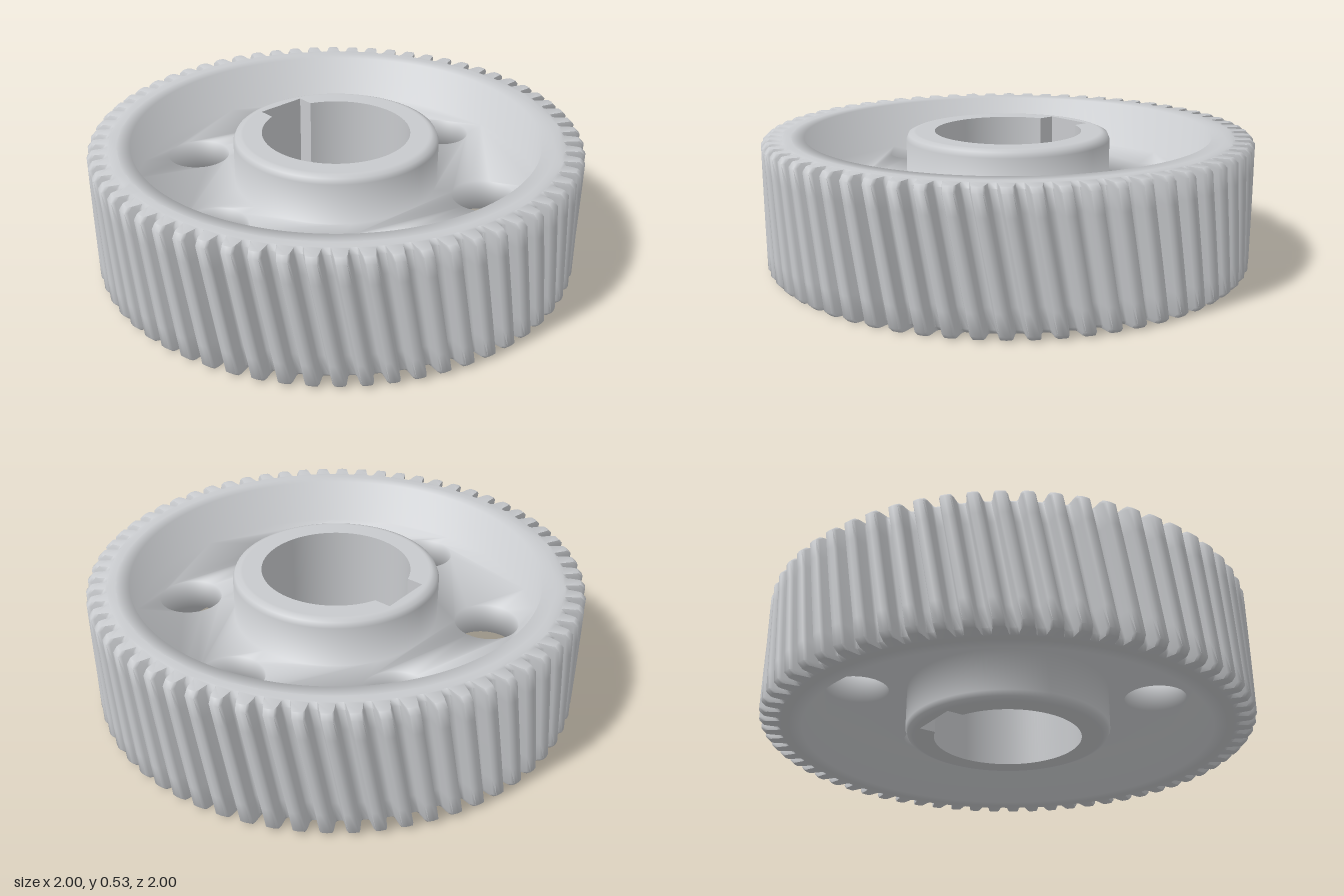
import * as THREE from 'three';
import { toCreasedNormals } from 'three/addons/utils/BufferGeometryUtils.js';

const HEIGHT = 0.53;
const WEB = [0.2, 0.33]; // bottom and top of the web
const RIM_R = 0.83, HUB_R = 0.42;
const TEETH = 64;
const TWIST = -0.098; // helix turn from bottom to top

function circlePath(x, y, r) {
  return new THREE.Path().absarc(x, y, r, 0, Math.PI * 2, true);
}

function disc(r) {
  return new THREE.Shape().absarc(0, 0, r, 0, Math.PI * 2, false);
}

// Extrude a shape upward from y0 to y1
function plate(shape, y0, y1, steps = 1) {
  const geo = new THREE.ExtrudeGeometry(shape, {
    depth: y1 - y0, steps, bevelEnabled: false, curveSegments: 64,
  });
  return geo.rotateX(-Math.PI / 2).translate(0, y0, 0);
}

function lathe(points) {
  const profile = points.map(([x, y]) => new THREE.Vector2(x, y));
  return new THREE.LatheGeometry(profile, 128).toNonIndexed();
}

// Helical teeth with softened ends; [fraction of the pitch, radius] for one tooth
function toothedBand() {
  const tooth = [
    [0.04, 0.936], [0.28, 0.936], [0.34, 0.945], [0.41, 0.985],
    [0.47, 0.998], [0.66, 1], [0.85, 0.998], [0.91, 0.985], [0.98, 0.945],
  ];
  const e = 0.018;
  const outline = [];
  for (let i = 0; i < TEETH; i++) {
    for (const [f, r] of tooth) {
      const a = (i + f) / TEETH * Math.PI * 2;
      outline.push(new THREE.Vector2((r - e) * Math.cos(a), (r - e) * Math.sin(a)));
    }
  }
  const shape = new THREE.Shape(outline);
  shape.holes.push(circlePath(0, 0, 0.88));
  const rows = [[0, 0], [e, e]]; // height and growth of the outer edge
  for (let i = 1; i < 6; i++) rows.push([e + (HEIGHT - 2 * e) * i / 6, e]);
  rows.push([HEIGHT - e, e], [HEIGHT, 0]);

  const geo = plate(shape, 0, rows.length - 1, rows.length - 1);
  const p = geo.attributes.position;
  for (let i = 0; i < p.count; i++) {
    const [y, grow] = rows[Math.round(p.getY(i))];
    const x = p.getX(i), z = p.getZ(i);
    const flat = Math.hypot(x, z);
    const r = flat > 0.9 ? flat + grow : flat;
    const a = Math.atan2(x, z) + TWIST * y / HEIGHT;
    p.setXYZ(i, r * Math.sin(a), y, r * Math.cos(a));
  }
  return toCreasedNormals(geo, 1.1);
}

// Soft shading across parts: corner-angle weighted normals shared by position
function smoothTogether(geos) {
  const sums = new Map();
  const v = [0, 1, 2].map(() => new THREE.Vector3());
  const e1 = new THREE.Vector3(), e2 = new THREE.Vector3(), n = new THREE.Vector3();
  const key = (q) => q.toArray().map((c) => Math.round(c * 1e4)).join();
  for (const geo of geos) {
    const p = geo.attributes.position;
    for (let i = 0; i < p.count; i += 3) {
      v.forEach((q, k) => q.fromBufferAttribute(p, i + k));
      n.crossVectors(e1.subVectors(v[1], v[0]), e2.subVectors(v[2], v[0])).normalize();
      for (let k = 0; k < 3; k++) {
        e1.subVectors(v[(k + 1) % 3], v[k]);
        e2.subVectors(v[(k + 2) % 3], v[k]);
        const id = key(v[k]);
        if (!sums.has(id)) sums.set(id, new THREE.Vector3());
        sums.get(id).addScaledVector(n, e1.angleTo(e2));
      }
    }
  }
  for (const geo of geos) {
    const p = geo.attributes.position;
    for (let i = 0; i < p.count; i++) {
      n.copy(sums.get(key(v[0].fromBufferAttribute(p, i)))).normalize();
      geo.attributes.normal.setXYZ(i, n.x, n.y, n.z);
    }
  }
}

export function createModel() {
  const model = new THREE.Group();
  model.name = 'helicalGear';
  const steel = new THREE.MeshStandardMaterial({ color: 0xc8cacd });
  steel.name = 'light grey steel';

  // Inner side of the rim
  const rimRing = lathe([
    [0.885, HEIGHT], [RIM_R, HEIGHT], [RIM_R, WEB[1]],
    [RIM_R, WEB[0]], [RIM_R, 0], [0.885, 0],
  ]);

  // Web with six round holes
  const webShape = disc(RIM_R);
  webShape.holes.push(circlePath(0, 0, HUB_R));
  for (let i = 0; i < 6; i++) {
    const a = i * Math.PI / 3;
    webShape.holes.push(circlePath(0.625 * Math.cos(a), 0.625 * Math.sin(a), 0.13));
  }
  const web = plate(webShape, WEB[0], WEB[1]);

  // Outer side of the hub, with rounded edges
  const c = 0.03;
  const hubSleeve = lathe([
    [0.38, 0], [HUB_R - c, 0], [HUB_R - 0.3 * c, 0.3 * c], [HUB_R, c],
    [HUB_R, WEB[0]], [HUB_R, WEB[1]],
    [HUB_R, HEIGHT - c], [HUB_R - 0.3 * c, HEIGHT - 0.3 * c], [HUB_R - c, HEIGHT], [0.38, HEIGHT],
  ]);

  // Hub core with a keyed bore, the keyway towards the back
  const core = disc(0.382);
  const bore = new THREE.Path();
  const half = 0.107, r = 0.303, a = Math.acos(half / r);
  bore.moveTo(-half, 0.353);
  bore.lineTo(half, 0.353);
  bore.absarc(0, 0, r, a, Math.PI - a, true);
  bore.closePath();
  core.holes.push(bore);

  smoothTogether([rimRing, web, hubSleeve]);
  const parts = {
    toothedBand: toothedBand(),
    rimRing,
    web,
    hubSleeve,
    hubCore: toCreasedNormals(plate(core, 0, HEIGHT), 1.1),
  };
  for (const [name, geo] of Object.entries(parts)) {
    const mesh = new THREE.Mesh(geo, steel);
    mesh.name = name;
    model.add(mesh);
  }
  return model;
}
